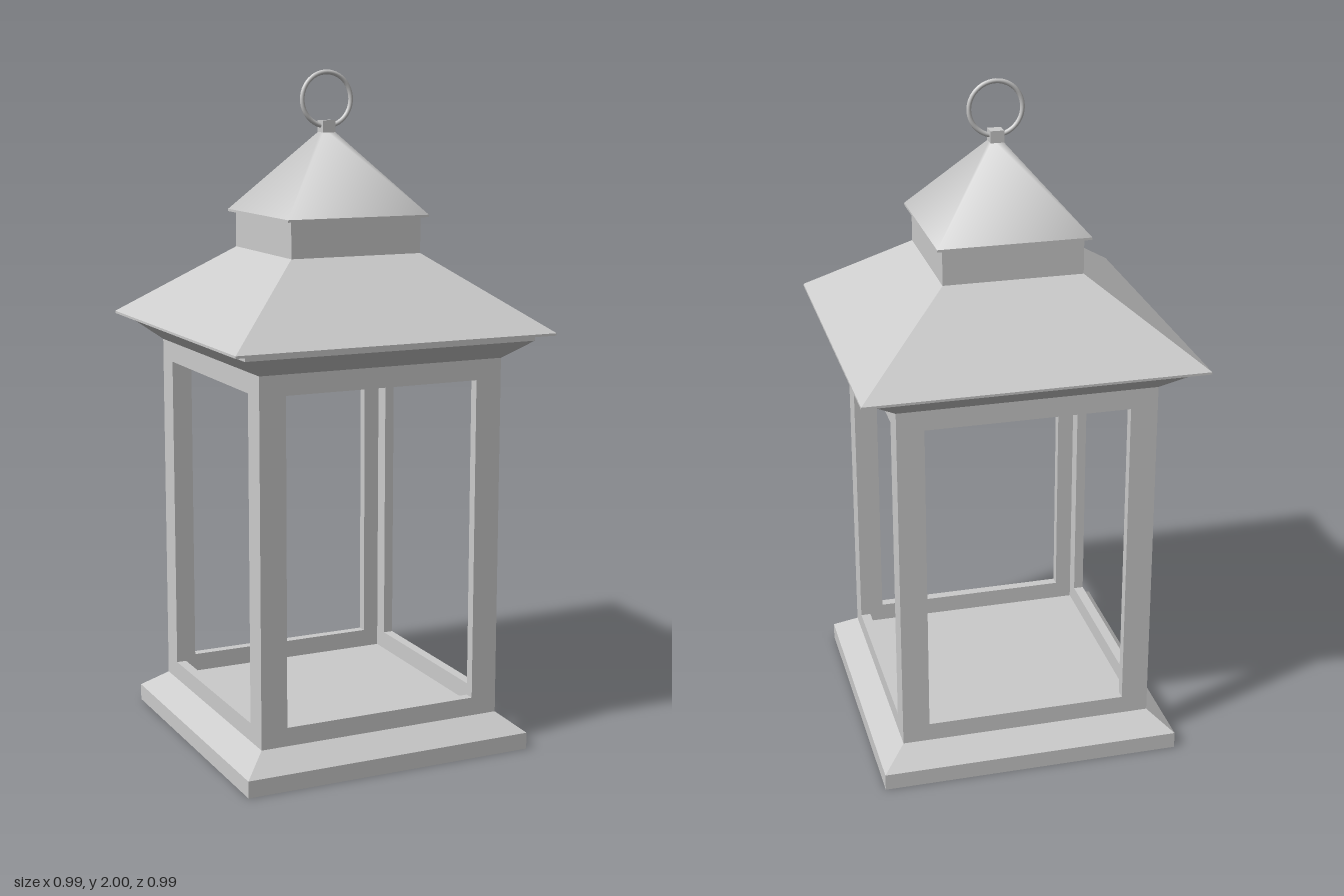
import * as THREE from 'three';

const material = new THREE.MeshStandardMaterial({ color: 0xcccccc });

function add(parent, name, geometry, x = 0, y = 0, z = 0) {
  const mesh = new THREE.Mesh(geometry, material);
  mesh.name = name;
  mesh.position.set(x, y, z);
  parent.add(mesh);
  return mesh;
}

// Square solid stacked from [half width, height] pairs, bottom to top
function squareStack(profile, smooth = false) {
  const points = profile.map(([h, y]) => new THREE.Vector2(h * Math.SQRT2, y));
  const lathe = new THREE.LatheGeometry(points, 4).rotateY(Math.PI / 4);
  if (smooth) return lathe;
  const flat = lathe.toNonIndexed();
  flat.computeVertexNormals();
  return flat;
}

// Window frame panel with a rectangular opening
function framePanel(halfWidth, depth) {
  const shape = new THREE.Shape([
    new THREE.Vector2(-halfWidth, 0.1), new THREE.Vector2(halfWidth, 0.1),
    new THREE.Vector2(halfWidth, 1.185), new THREE.Vector2(-halfWidth, 1.185),
  ]);
  shape.holes.push(new THREE.Path([
    new THREE.Vector2(-0.3, 0.16), new THREE.Vector2(-0.3, 1.12),
    new THREE.Vector2(0.3, 1.12), new THREE.Vector2(0.3, 0.16),
  ]));
  return new THREE.ExtrudeGeometry(shape, { depth, bevelEnabled: false });
}

export function createModel() {
  const lantern = new THREE.Group();
  lantern.name = 'lantern';

  // Plinth with sloped shoulder; its top is the lantern floor
  add(lantern, 'base', squareStack([[0, 0], [0.45, 0], [0.45, 0.05], [0.38, 0.105], [0, 0.105]]));

  // Four open window frames, the side pair fitting between front and back
  const half = 0.38, depth = 0.03;
  const frames = new THREE.Group();
  frames.name = 'windowFrames';
  lantern.add(frames);
  ['frontFrame', 'leftFrame', 'backFrame', 'rightFrame'].forEach((name, i) => {
    const geometry = framePanel(i % 2 ? half - depth : half, depth);
    geometry.translate(0, 0, half - depth).rotateY(i * Math.PI / 2);
    add(frames, name, geometry);
  });

  // Flared cornice and the ceiling under the roof
  add(lantern, 'cornice', squareStack([[0, 1.18], [0.38, 1.18], [0.45, 1.235], [0.45, 1.255], [0, 1.255]]));

  // Main roof with thin eaves
  add(lantern, 'roof', squareStack([[0, 1.253], [0.495, 1.253], [0.495, 1.26], [0.205, 1.475], [0, 1.475]]));

  // Chimney neck and its softly shaded cap
  add(lantern, 'neck', squareStack([[0.205, 1.47], [0.205, 1.59]]));
  add(lantern, 'capUnderside', squareStack([[0, 1.58], [0.223, 1.58], [0.223, 1.587]]));
  add(lantern, 'cap', squareStack([[0.223, 1.587], [0.012, 1.828]], true));

  // Finial block and carrying ring
  add(lantern, 'finial', new THREE.BoxGeometry(0.04, 0.035, 0.04), 0, 1.837, 0);
  add(lantern, 'ring', new THREE.TorusGeometry(0.078, 0.007, 10, 48), 0, 1.915, 0);

  return lantern;
}
